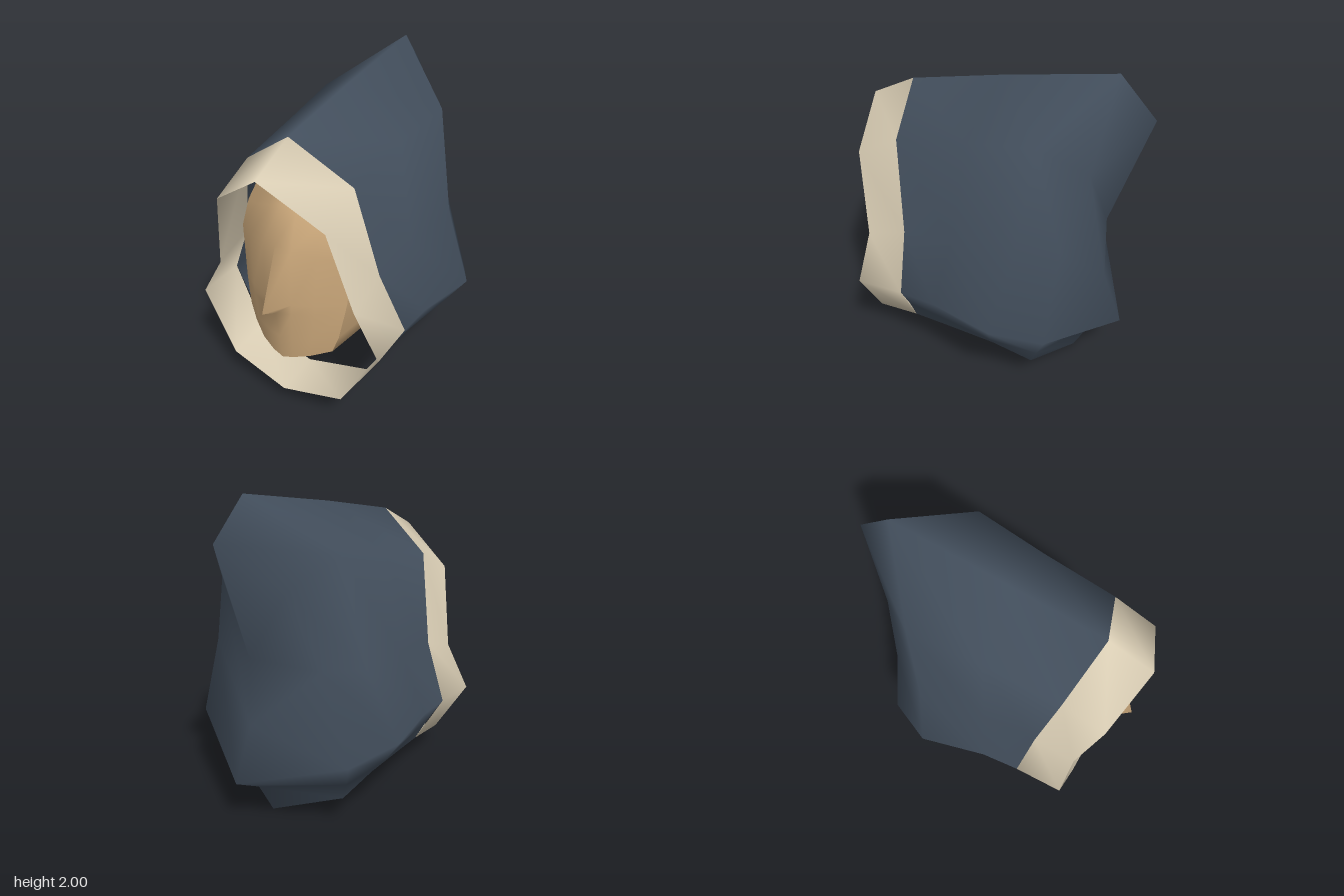
import * as THREE from 'three';
import { mergeVertices } from 'three/addons/utils/BufferGeometryUtils.js';

// Surface through equal-length rows of [x, y, z]; welded so it shades smoothly
function loft(rows, closed = false) {
  const n = rows[0].length, index = [];
  for (let j = 0; j < rows.length - 1; j++) {
    for (let i = 0; i < (closed ? n : n - 1); i++) {
      const k = (i + 1) % n;
      const a = j * n + i, b = j * n + k, c = a + n, d = b + n;
      index.push(a, b, d, a, d, c);
    }
  }
  const g = new THREE.BufferGeometry();
  g.setAttribute('position', new THREE.Float32BufferAttribute(rows.flat(2), 3));
  g.setIndex(index);
  const welded = mergeVertices(g, 1e-4);
  welded.computeVertexNormals();
  return welded;
}

const flip = ([x, y, z]) => [-x, y, z];
// Half section (crown down to hem) to a full arch, from -x hem over the crown to +x hem
const arch = (half) => [...half.slice(1).reverse().map(flip), ...half];
// Half section whose first and last points lie on the centre plane, to a closed loop
const loop = (half) => [...half, ...half.slice(1, -1).reverse().map(flip)];

export function createModel() {
  const model = new THREE.Group();
  const material = (name, color) => {
    const m = new THREE.MeshStandardMaterial({ color, side: THREE.DoubleSide });
    m.name = name;
    return m;
  };
  const cloth = material('slate blue cloth', 0x434f5d);
  const lining = material('cream trim', 0xd9cdb4);
  const skin = material('tan skin', 0xcaa77a);
  const add = (name, geometry, mat) => {
    const mesh = new THREE.Mesh(geometry, mat);
    mesh.name = name;
    model.add(mesh);
  };

  // Hood: arches from the face opening to the back seam, open at the neck
  const hood = [
    [[0, 1.76, 0.6], [0.36, 1.52, 0.52], [0.48, 0.96, 0.44], [0.635, 0.61, 0.4], [0.52, 0.43, 0.42], [0.41, 0.24, 0.45]],
    [[0, 1.88, 0], [0.38, 1.61, 0.05], [0.5, 1.0, 0.1], [0.65, 0.61, 0.16], [0.56, 0.44, 0.18], [0.45, 0.27, 0.2]],
    [[0, 2, -0.69], [0.42, 1.68, -0.39], [0.55, 1.04, -0.32], [0.74, 0.61, -0.25], [0.61, 0.43, -0.2], [0.48, 0.28, -0.15]],
    [[0, 1.77, -0.91], [0.25, 1.5, -0.64], [0.42, 1.06, -0.55], [0.6, 0.52, -0.54], [0.53, 0.36, -0.47], [0.46, 0.21, -0.41]],
    [[0, 1.77, -0.91], [0, 1.08, -0.69], [0, 0.66, -0.71], [0, 0.33, -0.84], [0, 0.22, -0.65], [0, 0.005, -0.54]],
  ];
  add('hood', loft(hood.map(arch)), cloth);

  // Trim: a closed band around the face opening
  const trimFront = [[0, 1.62, 0.89], [0.36, 1.38, 0.8], [0.475, 0.87, 0.71], [0.635, 0.6, 0.71], [0.4, 0.22, 0.735], [0, 0.125, 0.76]];
  const trimBack = [...hood[0].filter((p, i) => i !== 4), [0, 0.15, 0.48]];
  add('hoodTrim', loft([trimFront, trimBack].map(loop), true), lining);

  // Face rows, chin to crown: centre y, edge y, half width, centre z, edge z, nose height
  const faceRows = [
    [0.38, 0.465, 0.285, 0.755, 0.64, 0],
    [0.55, 0.58, 0.325, 0.77, 0.63, 0],
    [0.735, 0.75, 0.355, 0.775, 0.61, 0.02],
    [0.8, 0.82, 0.365, 0.775, 0.6, 0.137],
    [1.18, 1.1, 0.385, 0.76, 0.58, 0],
    [1.4, 1.26, 0.36, 0.69, 0.54, 0],
    [1.575, 1.38, 0.33, 0.58, 0.47, 0],
  ];
  const columns = [-1, -0.6, -0.25, 0, 0.25, 0.6, 1];
  const face = faceRows.map(([yc, ye, w, zc, ze, nose]) => columns.map((u) => [
    u * w,
    yc + (ye - yc) * Math.abs(u),
    zc + (ze - zc) * u * u + (u === 0 ? nose : 0),
  ]));
  add('face', loft(face), skin);

  // Head sides run from the face outline to a flat back
  const last = face.length - 1;
  const inner = face.slice(1, last);
  const rim = [
    ...face[last],
    ...inner.map((r) => r[6]).reverse(),
    ...[...face[0]].reverse(),
    ...inner.map((r) => r[0]),
  ];
  const back = rim.map(([x, y]) => [x * 1.05, 1 + (y - 1) * 1.07, 0.25]);
  add('headSides', loft([rim, back], true), skin);
  add('headBack', loft([back, back.map(() => [0, 1, 0.25])], true), skin);

  return model;
}
